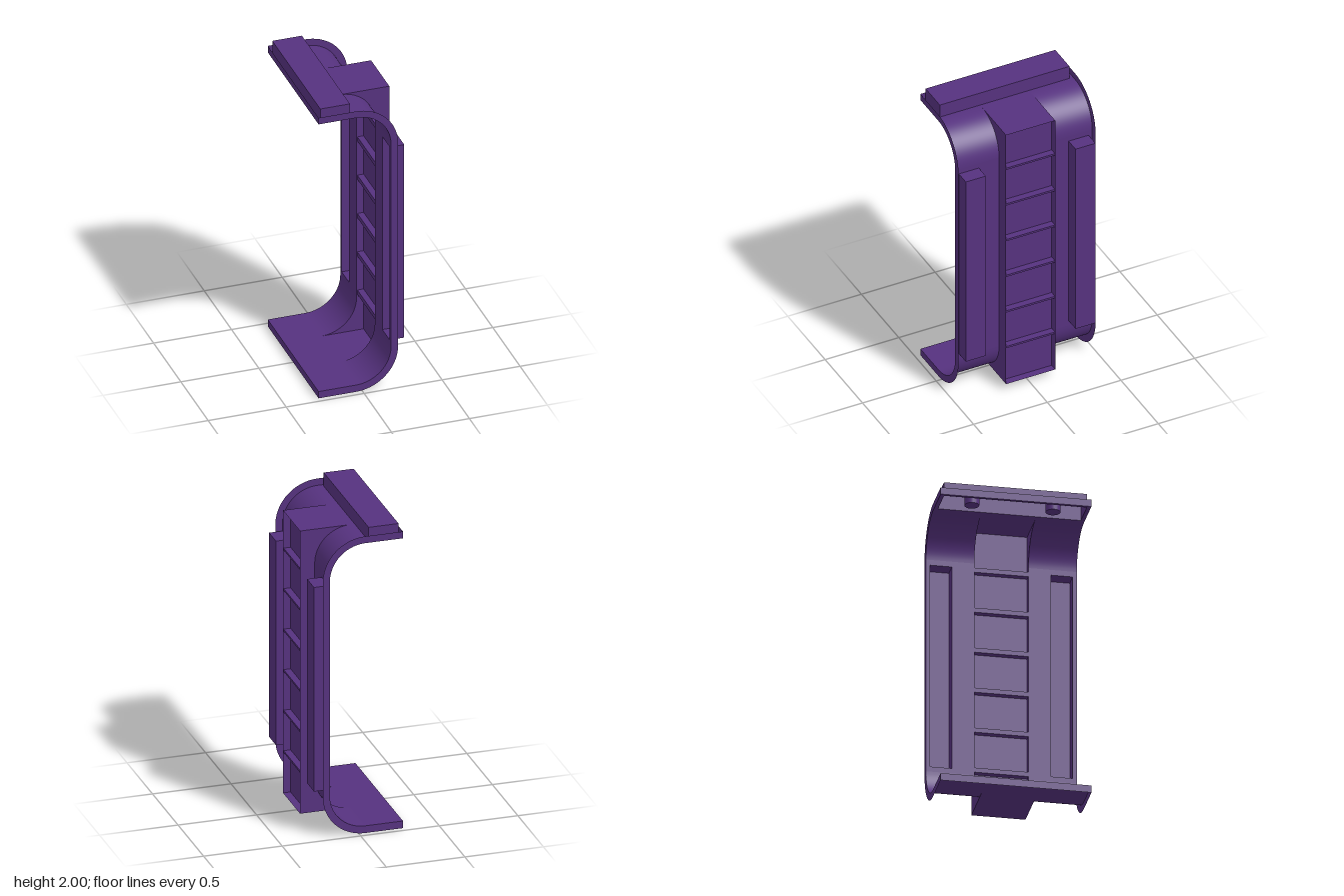
import * as THREE from 'three';

const material = new THREE.MeshStandardMaterial({ color: 0x56327f, side: THREE.DoubleSide });

const X0 = -0.28, BEND = -0.04;          // free edge, start of the bends
const WALL = 0.185, OUT = 0.278;         // wall plane, outermost plane
const LOW = 0.047, HIGH = 1.91, TOP = 1.955; // floor, ceiling, rim top
const HALF = 0.465, CH = 0.167;          // half depth, half channel width
const R = WALL - BEND;

// Quarter bend from angle a0 to a1 around (BEND, cy)
function bend(cy, r, a0, a1, n = 18) {
  return Array.from({ length: n + 1 }, (_, i) => {
    const a = a0 + (a1 - a0) * i / n;
    return [BEND + r * Math.cos(a), cy + r * Math.sin(a)];
  });
}

// Sheet that sweeps an xy polyline from z0 to z1
function sheet(points, z0, z1, flat = false) {
  const pos = [], index = [];
  points.forEach(([x, y]) => pos.push(x, y, z0, x, y, z1));
  for (let i = 0; i < points.length - 1; i++) {
    const a = 2 * i;
    index.push(a, a + 1, a + 2, a + 1, a + 3, a + 2);
  }
  let g = new THREE.BufferGeometry();
  g.setAttribute('position', new THREE.Float32BufferAttribute(pos, 3));
  g.setIndex(index);
  if (flat) g = g.toNonIndexed();
  g.computeVertexNormals();
  return g;
}

const outline = (points) => new THREE.Shape(points.map(([x, y]) => new THREE.Vector2(x, y)));

function add(parent, name, geometry, z = 0) {
  const m = new THREE.Mesh(geometry, material);
  m.name = name;
  m.position.z = z;
  parent.add(m);
  return m;
}

// Hollow box, open along the line from the last point to the first
function trough(parent, name, points, z0, z1) {
  const g = new THREE.Group();
  g.name = name;
  add(g, name + 'Skin', sheet(points, z0, z1, true));
  for (const z of [z0, z1]) add(g, name + 'End', new THREE.ShapeGeometry(outline(points)), z);
  parent.add(g);
}

export function createModel() {
  const model = new THREE.Group();
  model.name = 'wallSection';

  const upperBend = bend(HIGH - R, R, Math.PI / 2, 0);
  const lowerBend = bend(LOW + R, R, 0, -Math.PI / 2);
  const inner = [[X0, HIGH], ...upperBend, ...lowerBend, [X0, LOW]];

  // Floor and ceiling; the ceiling is open under the top rail
  const rail = { x0: -0.26, x1: -0.07, z: 0.44 };
  add(model, 'floor', sheet([[X0, LOW], [BEND, LOW]], -HALF, HALF));
  add(model, 'ceilingEdge', sheet([[rail.x0, HIGH], [X0, HIGH]], -HALF, HALF));
  add(model, 'ceilingInner', sheet([[BEND, HIGH], [rail.x1, HIGH]], -HALF, HALF));

  const bar = { z0: 0.305, z1: 0.44, y0: 0.305, y1: 1.65 };
  for (const s of [-1, 1]) {
    const band = (name, pts, a, b) => add(model, name, sheet(pts, Math.min(s * a, s * b), Math.max(s * a, s * b)));
    band('ceilingSide', [[rail.x1, HIGH], [rail.x0, HIGH]], rail.z, HALF);

    // Curved wall with an opening behind each side bar
    band('upperBend', upperBend, CH, HALF);
    band('lowerBend', lowerBend, CH, HALF);
    const y0 = LOW + R, y1 = HIGH - R;
    band('wallInner', [[WALL, y1], [WALL, y0]], CH, bar.z0);
    band('wallOuter', [[WALL, y1], [WALL, y0]], bar.z1, HALF);
    band('wallAboveBar', [[WALL, y1], [WALL, bar.y1]], bar.z0, bar.z1);
    band('wallBelowBar', [[WALL, bar.y0], [WALL, y0]], bar.z0, bar.z1);

    trough(model, 'sideBar',
      [[WALL, bar.y1], [OUT, bar.y1], [OUT, bar.y0], [WALL, bar.y0]],
      Math.min(s * bar.z0, s * bar.z1), Math.max(s * bar.z0, s * bar.z1));

    // Flat rim that follows the profile at each end
    const r = R + 0.045;
    const outer = [[X0, TOP], ...bend(TOP - r, r, Math.PI / 2, 0), ...bend(r, r, 0, -Math.PI / 2), [X0, 0]];
    add(model, 'endRim', new THREE.ShapeGeometry(outline([...outer, ...inner.slice().reverse()])), s * HALF);

    // Side walls of the ladder channel
    add(model, 'channelSide', new THREE.ShapeGeometry(outline(
      [[OUT, HIGH], [OUT, LOW], ...lowerBend.slice().reverse(), ...upperBend.slice().reverse()])), s * CH);

    // Pegs inside the top rail
    const peg = add(model, 'railPeg', new THREE.CylinderGeometry(0.045, 0.045, 0.09, 20), s * 0.25);
    peg.position.set(-0.165, 1.95, s * 0.25);
  }

  // Narrow strips closing the free edges
  add(model, 'upperLip', sheet([[X0, HIGH], [X0, TOP]], -HALF, HALF));
  add(model, 'lowerLip', sheet([[X0, 0], [X0, LOW]], -HALF, HALF));

  // Top rail
  trough(model, 'topRail',
    [[rail.x0, HIGH], [rail.x0, 2], [rail.x1, 2], [rail.x1, HIGH]], -rail.z, rail.z);

  // Ladder channel: roof, floor and recessed back panel
  add(model, 'channelRoof', sheet([[BEND, HIGH], [OUT, HIGH]], -CH, CH));
  add(model, 'channelFloor', sheet([[BEND, LOW], [OUT, LOW]], -CH, CH));
  add(model, 'channelPanel', sheet([[0.23, HIGH], [0.23, LOW]], -CH, CH));

  // Rungs with a sloped underside
  const rung = new THREE.ExtrudeGeometry(
    outline([[0.19, 0], [0.19, -0.03], [0.23, -0.03], [0.274, -0.013], [0.274, 0]]),
    { depth: 2 * CH, bevelEnabled: false });
  for (let i = 0; i < 6; i++) add(model, 'rung', rung, -CH).position.y = 0.325 + i * 0.267;

  return model;
}
